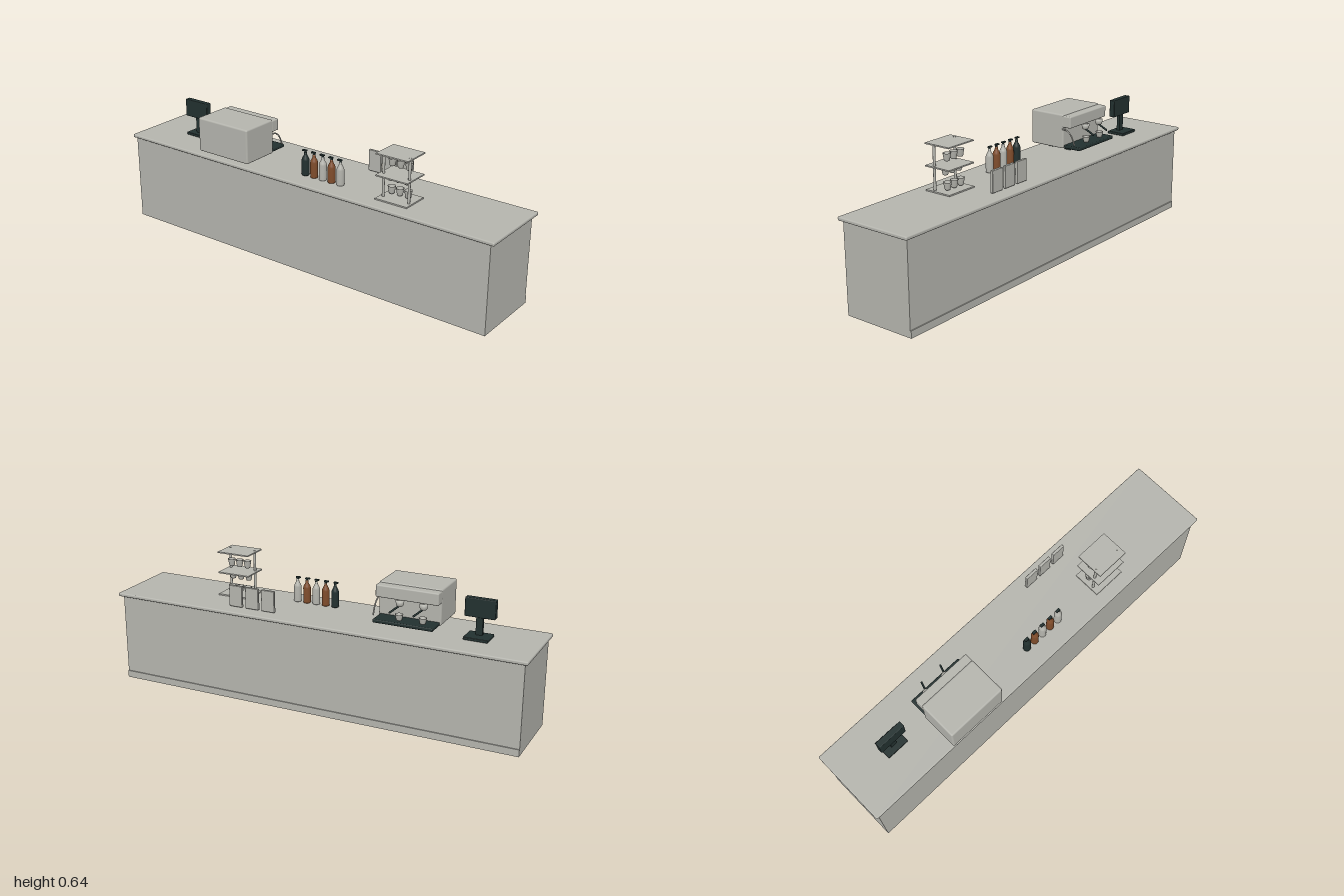
import * as THREE from 'three';
import { RoundedBoxGeometry } from 'three/addons/geometries/RoundedBoxGeometry.js';

export function createModel() {
  const root = new THREE.Group();
  root.name = 'coffeeCounter';
  const mat = (name, color, side = THREE.FrontSide) => {
    const m = new THREE.MeshStandardMaterial({ color, side });
    m.name = name;
    return m;
  };
  const grey = mat('warmGrey', 0xb4b4ad, THREE.DoubleSide);
  const dark = mat('darkSlate', 0x22302f);
  const brown = mat('syrupBrown', 0x7f4c2b);

  const group = (name, x = 0, y = 0, z = 0) => {
    const g = new THREE.Group();
    g.name = name;
    g.position.set(x, y, z);
    root.add(g);
    return g;
  };
  const add = (parent, name, geo, material, x = 0, y = 0, z = 0) => {
    const m = new THREE.Mesh(geo, material);
    m.name = name;
    m.position.set(x, y, z);
    parent.add(m);
    return m;
  };
  // Box given by its limits on each axis, rounded when r > 0
  const box = (parent, name, material, [x0, x1], [y0, y1], [z0, z1], r = 0) => {
    const s = [x1 - x0, y1 - y0, z1 - z0];
    const geo = r ? new RoundedBoxGeometry(...s, 3, r) : new THREE.BoxGeometry(...s);
    return add(parent, name, geo, material, (x0 + x1) / 2, (y0 + y1) / 2, (z0 + z1) / 2);
  };
  const lathe = (pts, n = 24) => new THREE.LatheGeometry(pts.map(p => new THREE.Vector2(...p)), n);

  // Counter
  const counter = group('counter');
  box(counter, 'counterBody', grey, [-0.985, 0.98], [0, 0.415], [-0.172, 0.175]);
  box(counter, 'kickBoard', grey, [-0.985, 0.98], [0, 0.033], [-0.177, -0.172]);
  box(counter, 'counterTop', grey, [-1, 1], [0.414, 0.431], [-0.188, 0.187], 0.006);

  // Open tapered cup with an inner wall
  const cupGeo = lathe([[0, 0], [0.011, 0], [0.013, 0.005], [0.018, 0.034],
    [0.0165, 0.034], [0.011, 0.005], [0, 0.004]]);

  // Espresso machine, working side towards the back
  const machine = group('espressoMachine');
  box(machine, 'machineBody', grey, [-0.555, -0.262], [0.45, 0.614], [0.005, 0.19], 0.008);
  box(machine, 'brewHead', grey, [-0.555, -0.262], [0.553, 0.609], [-0.036, 0.013], 0.006);
  box(machine, 'dripTray', dark, [-0.55, -0.27], [0.451, 0.467], [-0.085, 0.006], 0.005);
  for (const x of [-0.485, -0.335])
    for (const z of [0.115, 0.02])
      box(machine, 'machineFoot', dark, [x - 0.016, x + 0.016], [0.43, 0.452], [z - 0.016, z + 0.016]);

  // Portafilters with slanted handles, and a cup below each
  const basketGeo = lathe([[0, 0], [0.013, 0], [0.017, 0.008], [0.019, 0.024], [0, 0.024]]);
  for (const x of [-0.49, -0.38]) {
    add(machine, 'filterBasket', basketGeo, grey, x, 0.53, -0.04);
    const path = new THREE.LineCurve3(
      new THREE.Vector3(x, 0.532, -0.035), new THREE.Vector3(x + 0.022, 0.515, -0.1));
    add(machine, 'filterHandle', new THREE.TubeGeometry(path, 1, 0.0045, 10), dark);
    const tip = add(machine, 'handleTip', new THREE.SphereGeometry(0.0045, 10, 8), dark);
    tip.position.copy(path.v2);
    const cup = add(machine, 'espressoCup', cupGeo, grey, x, 0.467, -0.045);
    cup.scale.y = 0.8;
  }

  // Steam wand
  const wand = new THREE.CatmullRomCurve3([[0.01, 0.545], [-0.015, 0.541], [-0.04, 0.52], [-0.06, 0.476]]
    .map(([z, y]) => new THREE.Vector3(-0.264, y, z)));
  add(machine, 'steamWand', new THREE.TubeGeometry(wand, 20, 0.0035, 10), grey);

  // Till screen on a stand
  const till = group('tillScreen');
  box(till, 'tillBase', dark, [-0.787, -0.677], [0.431, 0.444], [-0.06, 0.03], 0.003);
  box(till, 'tillPost', dark, [-0.747, -0.717], [0.44, 0.54], [-0.012, 0.004]);
  box(till, 'tillDisplay', dark, [-0.801, -0.664], [0.521, 0.606], [-0.014, 0.015], 0.004);

  // Syrup bottles with pump tops
  const bottleGeo = lathe([[0, 0], [0.016, 0], [0.0175, 0.003], [0.0175, 0.072],
    [0.015, 0.081], [0.008, 0.094], [0.0065, 0.1], [0.0065, 0.107], [0, 0.107]]);
  [dark, brown, grey, brown, grey].forEach((material, i) => {
    const bottle = group('syrupBottle', -0.011 + i * 0.048, 0.431, 0.084);
    add(bottle, 'bottleBody', bottleGeo, material);
    add(bottle, 'bottlePump', new THREE.CylinderGeometry(0.004, 0.006, 0.012, 12), dark, 0, 0.11, 0);
    box(bottle, 'pumpSpout', dark, [-0.014, 0.007], [0.113, 0.119], [-0.006, 0.006]);
  });

  // Cup rack with three shelves on two posts
  const rack = group('cupRack');
  for (const y of [0.436, 0.543, 0.641])
    box(rack, 'rackShelf', grey, [0.392, 0.552], [y - 0.003, y + 0.003], [-0.007, 0.125]);
  for (const x of [0.408, 0.538])
    add(rack, 'rackPost', new THREE.CylinderGeometry(0.006, 0.006, 0.214, 16), grey, x, 0.538, 0.086);
  for (const [y, z] of [[0.443, 0.043], [0.507, 0.053], [0.57, 0.043]])
    for (const x of [0.423, 0.465, 0.507])
      add(rack, 'rackCup', cupGeo, grey, x, y, z);

  // Upright display cards near the working side
  const cards = group('displayCards');
  for (const x of [0.222, 0.304, 0.388])
    box(cards, 'displayCard', grey, [x - 0.033, x + 0.033], [0.437, 0.537], [-0.132, -0.118], 0.003);

  return root;
}
